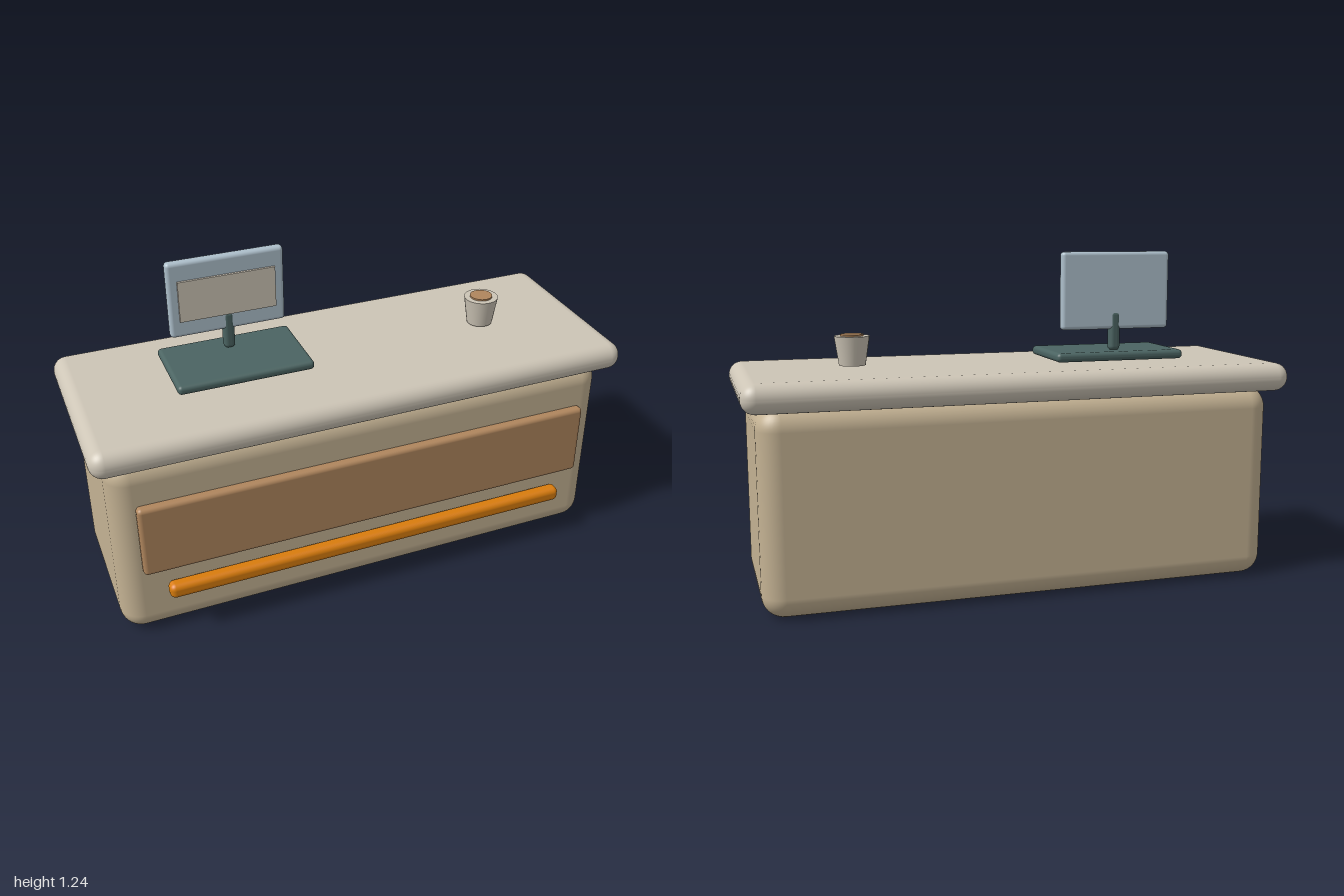
import * as THREE from 'three';
import { RoundedBoxGeometry } from 'three/addons/geometries/RoundedBoxGeometry.js';

const paint = (name, color) => {
  const m = new THREE.MeshStandardMaterial({ color });
  m.name = name;
  return m;
};

export function createModel() {
  const tan = paint('tan', 0xc4b293);
  const stone = paint('stone', 0xcdc5b6);
  const brown = paint('brown', 0xb0865d);
  const amber = paint('amber', 0xd97c0c);
  const paleBlue = paint('pale blue', 0xaec0cc);
  const darkTeal = paint('dark teal', 0x4b6462);

  const group = new THREE.Group();
  group.name = 'receptionDesk';

  const add = (name, geometry, material, parent = group) => {
    const mesh = new THREE.Mesh(geometry, material);
    mesh.name = name;
    parent.add(mesh);
    return mesh;
  };

  // Rounded box given by its extents on each axis
  const block = (name, material, [x0, x1], [y0, y1], [z0, z1], radius, parent) => {
    const geometry = new RoundedBoxGeometry(x1 - x0, y1 - y0, z1 - z0, 5, radius);
    geometry.translate((x0 + x1) / 2, (y0 + y1) / 2, (z0 + z1) / 2);
    return add(name, geometry, material, parent);
  };

  // Desk
  block('deskBody', tan, [-0.95, 0.95], [0, 0.735], [-0.316, 0.312], 0.08);
  block('counterTop', stone, [-1, 1], [0.722, 0.826], [-0.37, 0.365], 0.05);
  block('frontPanel', brown, [-0.865, 0.865], [0.286, 0.57], [0.305, 0.346], 0.016);
  block('frontRail', amber, [-0.785, 0.785], [0.172, 0.23], [0.317, 0.372], 0.021);

  // Monitor
  const monitor = new THREE.Group();
  monitor.name = 'monitor';
  group.add(monitor);
  block('monitorBase', darkTeal, [-0.64, -0.14], [0.838, 0.872], [-0.188, 0.117], 0.015, monitor);
  block('monitorStand', darkTeal, [-0.411, -0.369], [0.87, 1.018], [-0.128, -0.087], 0.016, monitor);
  block('monitorCase', paleBlue, [-0.604, -0.178], [0.95, 1.237], [-0.126, -0.089], 0.014, monitor);
  const display = add('display', new THREE.BoxGeometry(0.355, 0.154, 0.0095), stone, monitor);
  display.position.set(-0.391, 1.091, -0.085);

  // Cup with its drink
  const cup = new THREE.Group();
  cup.name = 'cup';
  cup.position.set(0.58, 0, 0);
  group.add(cup);
  add('cupBody', new THREE.CylinderGeometry(0.064, 0.048, 0.106, 32), stone, cup).position.y = 0.888;
  add('drink', new THREE.CylinderGeometry(0.042, 0.042, 0.006, 32), brown, cup).position.y = 0.944;

  return group;
}
